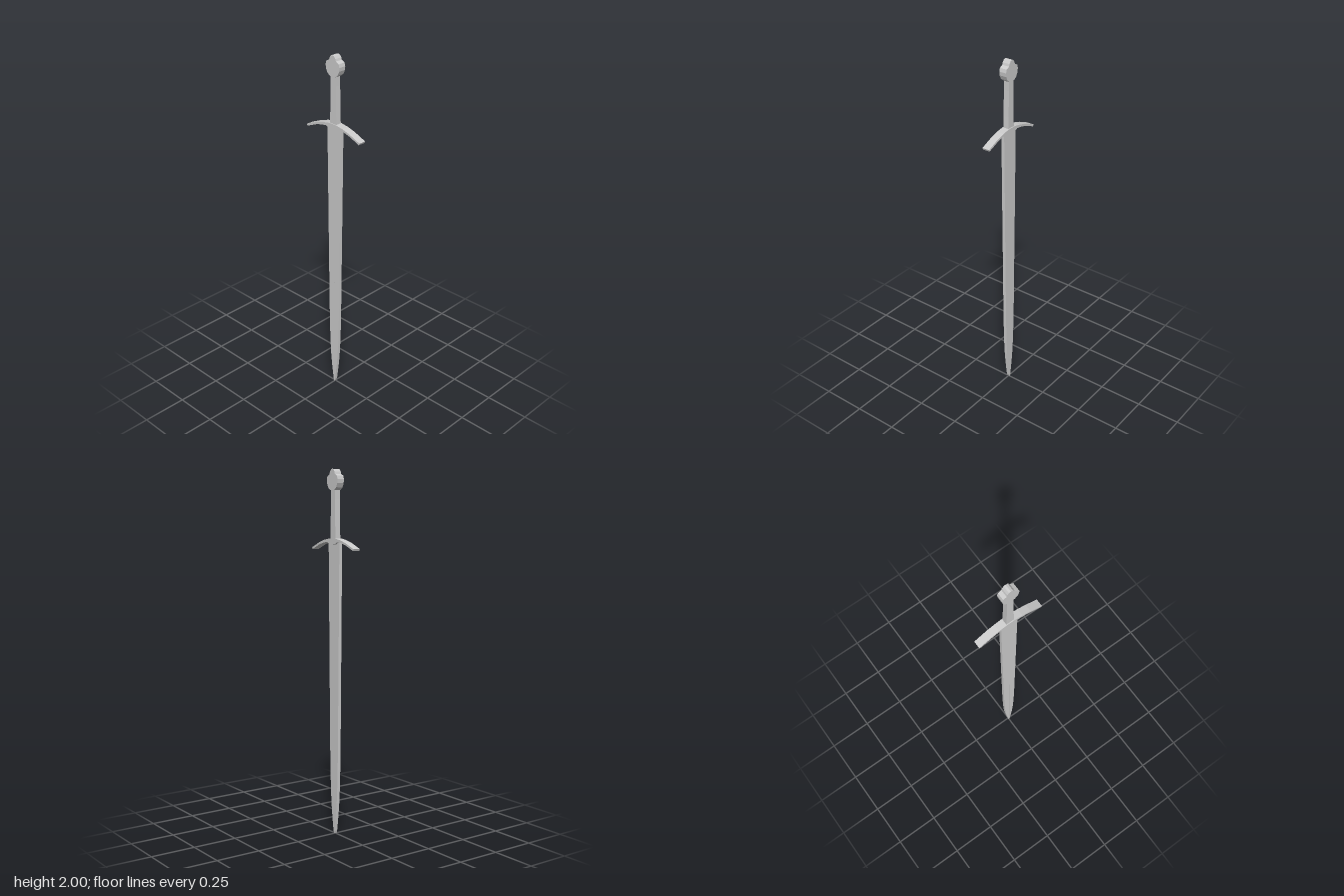
import * as THREE from 'three';

const material = new THREE.MeshStandardMaterial({ color: 0xcccccc, flatShading: true });

// Closed symmetric shape from its +x half, listed from bottom to top
function mirroredShape(half) {
  const right = half.map(([x, y]) => new THREE.Vector2(x, y));
  const left = half.filter(([x]) => x > 0).reverse().map(([x, y]) => new THREE.Vector2(-x, y));
  return new THREE.Shape([...right, ...left]);
}

// Slab of the shape between two depths
function slab(name, shape, zBack, zFront) {
  const geometry = new THREE.ExtrudeGeometry(shape, { depth: zFront - zBack, bevelEnabled: false });
  geometry.translate(0, 0, zBack);
  const mesh = new THREE.Mesh(geometry, material);
  mesh.name = name;
  return mesh;
}

export function createModel() {
  const model = new THREE.Group();
  model.name = 'sword';

  // Blade: tapered slab with a fine groove in the lower front face
  const bladeHalf = [
    [0, 0], [0.005, 0.015], [0.012, 0.065], [0.019, 0.12], [0.025, 0.18],
    [0.03, 0.26], [0.034, 0.37], [0.037, 0.52], [0.04, 0.8], [0.044, 1.15], [0.049, 1.615],
  ];
  const blade = new THREE.Group();
  blade.name = 'blade';
  const face = mirroredShape(bladeHalf);
  const groove = mirroredShape([[0, 0.03], [0.0015, 0.05], [0.0015, 0.68], [0, 0.685]]);
  face.holes.push(groove);
  blade.add(
    slab('bladeCore', mirroredShape(bladeHalf), -0.009, 0.005),
    slab('bladeFace', face, 0.005, 0.009),
  );
  model.add(blade);

  // Crossguard: arms sweeping down to the tips, small point over the blade
  const guardHalf = [
    [0, 1.6], [0.02, 1.603], [0.045, 1.615], [0.08, 1.611], [0.12, 1.6], [0.185, 1.573],
    [0.189, 1.583], [0.12, 1.612], [0.07, 1.627], [0.022, 1.635],
  ];
  model.add(slab('crossguard', mirroredShape(guardHalf), -0.021, 0.021));

  // Grip: slim bar, slightly narrower at the top
  const gripHalf = [[0.023, 1.63], [0.021, 1.7], [0.018, 1.84], [0.018, 1.9]];
  model.add(slab('grip', mirroredShape(gripHalf), -0.016, 0.016));

  // Pommel: lobed slab with a small knob on top
  const pommelHalf = [
    [0.02, 1.89], [0.036, 1.903], [0.046, 1.925], [0.048, 1.945], [0.043, 1.963],
    [0.024, 1.973], [0.02, 1.985], [0.011, 1.997], [0, 2],
  ];
  model.add(slab('pommel', mirroredShape(pommelHalf), -0.021, 0.021));

  return model;
}
